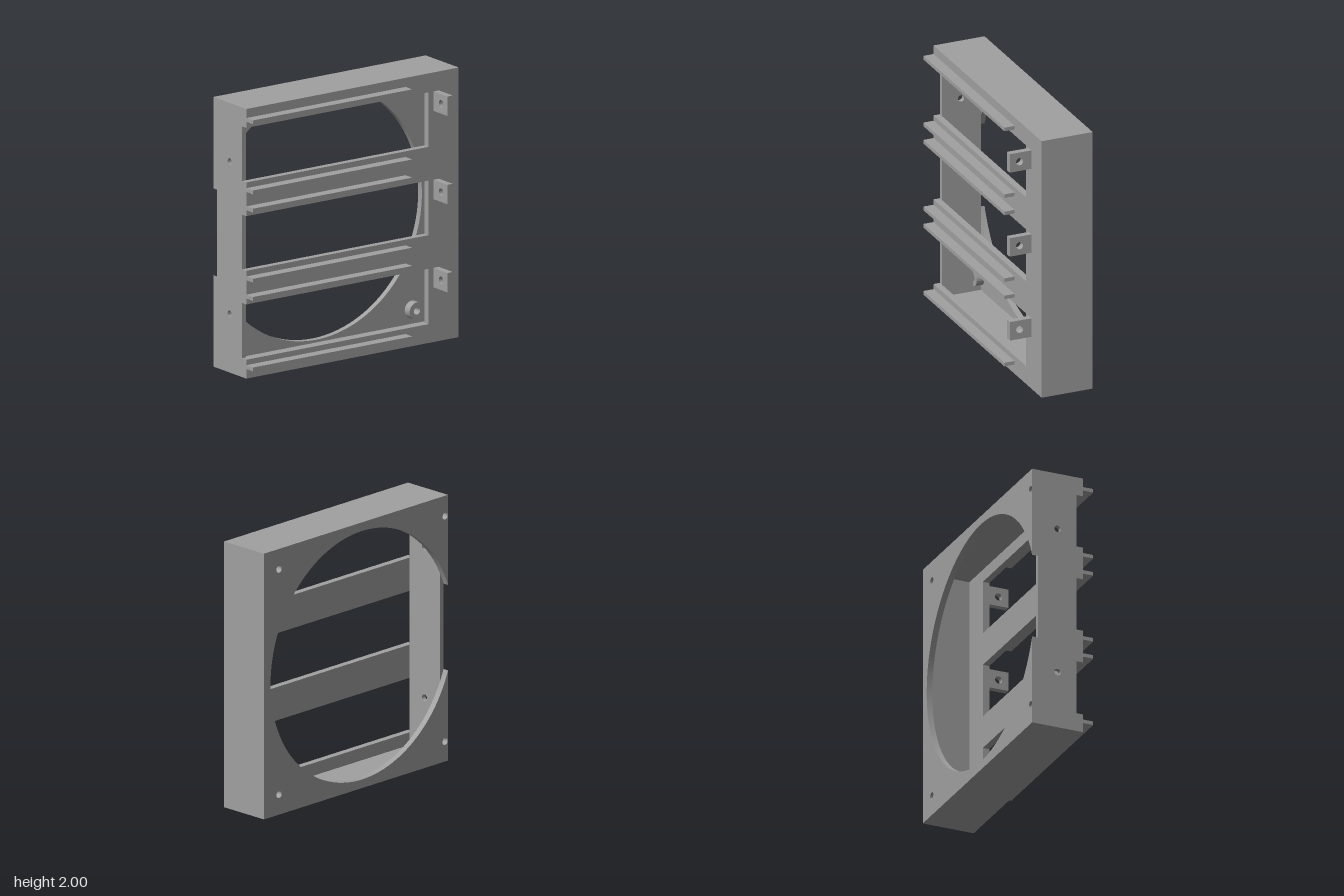
import * as THREE from 'three';
import { toCreasedNormals } from 'three/addons/utils/BufferGeometryUtils.js';

const grey = new THREE.MeshStandardMaterial({ color: 0xa0a0a0 });
grey.name = 'grey plastic';

// Main dimensions
const X = 0.94, H = 2, BACK = -0.285, FRONT = 0.115;
const BACK_IN = -0.24, FRONT_IN = 0.065;
const SIDE = 0.035, FLOOR = 0.045;
const CX = -0.062, R = 0.935, SCREW = 0.848;

function polygon(points) {
  return new THREE.Shape(points.map(([x, y]) => new THREE.Vector2(x, y)));
}

function rect(x0, y0, x1, y1) {
  return polygon([[x0, y0], [x1, y0], [x1, y1], [x0, y1]]);
}

function addHole(shape, x, y, r) {
  const hole = new THREE.Path();
  hole.absarc(x, y, r, 0, Math.PI * 2, true);
  shape.holes.push(hole);
}

function extrude(shape, depth, curveSegments = 16) {
  const geo = new THREE.ExtrudeGeometry(shape, { depth, bevelEnabled: false, curveSegments });
  return toCreasedNormals(geo, 0.6);
}

export function createModel() {
  const model = new THREE.Group();
  model.name = 'fanHousing';

  const add = (name, geo) => {
    const mesh = new THREE.Mesh(geo, grey);
    mesh.name = name;
    model.add(mesh);
    return mesh;
  };
  const box = (name, x0, x1, y0, y1, z0, z1) =>
    add(name, new THREE.BoxGeometry(x1 - x0, y1 - y0, z1 - z0))
      .position.set((x0 + x1) / 2, (y0 + y1) / 2, (z0 + z1) / 2);
  // Plate facing z
  const plateZ = (name, shape, z0, z1, segments) => {
    add(name, extrude(shape, z1 - z0, segments)).position.z = z0;
  };
  // Plate facing x, drawn in (z, y)
  const plateX = (name, shape, x0, x1) => {
    const mesh = add(name, extrude(shape, x1 - x0));
    mesh.rotation.y = -Math.PI / 2;
    mesh.position.x = x1;
  };

  // Back plate: the round opening breaks through the -x edge
  const a = Math.PI - Math.acos((X + CX) / R);
  const back = new THREE.Shape();
  back.moveTo(-X, 0);
  back.lineTo(X, 0);
  back.lineTo(X, H);
  back.lineTo(-X, H);
  back.absarc(CX, 1, R, a, -a, true);
  back.closePath();
  const screws = [];
  for (const sx of [-1, 1]) for (const sy of [-1, 1]) screws.push([CX + sx * SCREW, 1 + sy * SCREW]);
  screws.forEach(([x, y]) => addHole(back, x, y, 0.027));
  plateZ('backPlate', back, BACK, BACK_IN, 80);

  // Screw bosses: the pair merging into the side wall is halved
  for (const [x, y] of screws) {
    const boss = new THREE.Shape();
    if (x < 0) {
      boss.absarc(x, y, 0.065, -Math.PI / 2, Math.PI / 2, false);
      boss.absarc(x, y, 0.027, Math.PI / 2, -Math.PI / 2, true);
      boss.closePath();
    } else {
      boss.absarc(x, y, 0.065, 0, Math.PI * 2, false);
      addHole(boss, x, y, 0.027);
    }
    plateZ('screwBoss', boss, BACK_IN, -0.18);
  }

  // Outer walls
  box('bottomWall', -X, X, 0, FLOOR, BACK_IN, FRONT_IN);
  box('topWall', -X, X, H - FLOOR, H, BACK_IN, FRONT_IN);
  box('leftWall', X - SIDE, X, FLOOR, H - FLOOR, BACK_IN, FRONT_IN);
  const wall = rect(BACK_IN, FLOOR, FRONT_IN, H - FLOOR);
  for (const y of [0.435, 1.565]) addHole(wall, -0.085, y, 0.025);
  plateX('rightWall', wall, -X, -X + SIDE);

  // Front plate: a column with four bars, open towards -x
  const W = 0.672;
  plateZ('frontPlate', polygon([
    [-X, 0], [X, 0], [X, H], [-X, H],
    [-X, 1.86], [W, 1.86], [W, 1.455], [-X, 1.455],
    [-X, 1.205], [W, 1.205], [W, 0.8], [-X, 0.8],
    [-X, 0.55], [W, 0.55], [W, 0.14], [-X, 0.14],
  ]), FRONT_IN, FRONT);

  // Guide rails
  for (const y of [0.086, 0.609, 0.744, 1.264, 1.399, 1.919])
    box('guideRail', -X, 0.47, y - 0.014, y + 0.014, FRONT, 0.195);

  // Drilled tabs
  for (const y of [0.478, 1.132, 1.787]) {
    const tab = rect(FRONT, y - 0.072, 0.285, y + 0.072);
    addHole(tab, 0.208, y, 0.028);
    plateX('mountingTab', tab, 0.716, 0.764);
  }

  return model;
}
